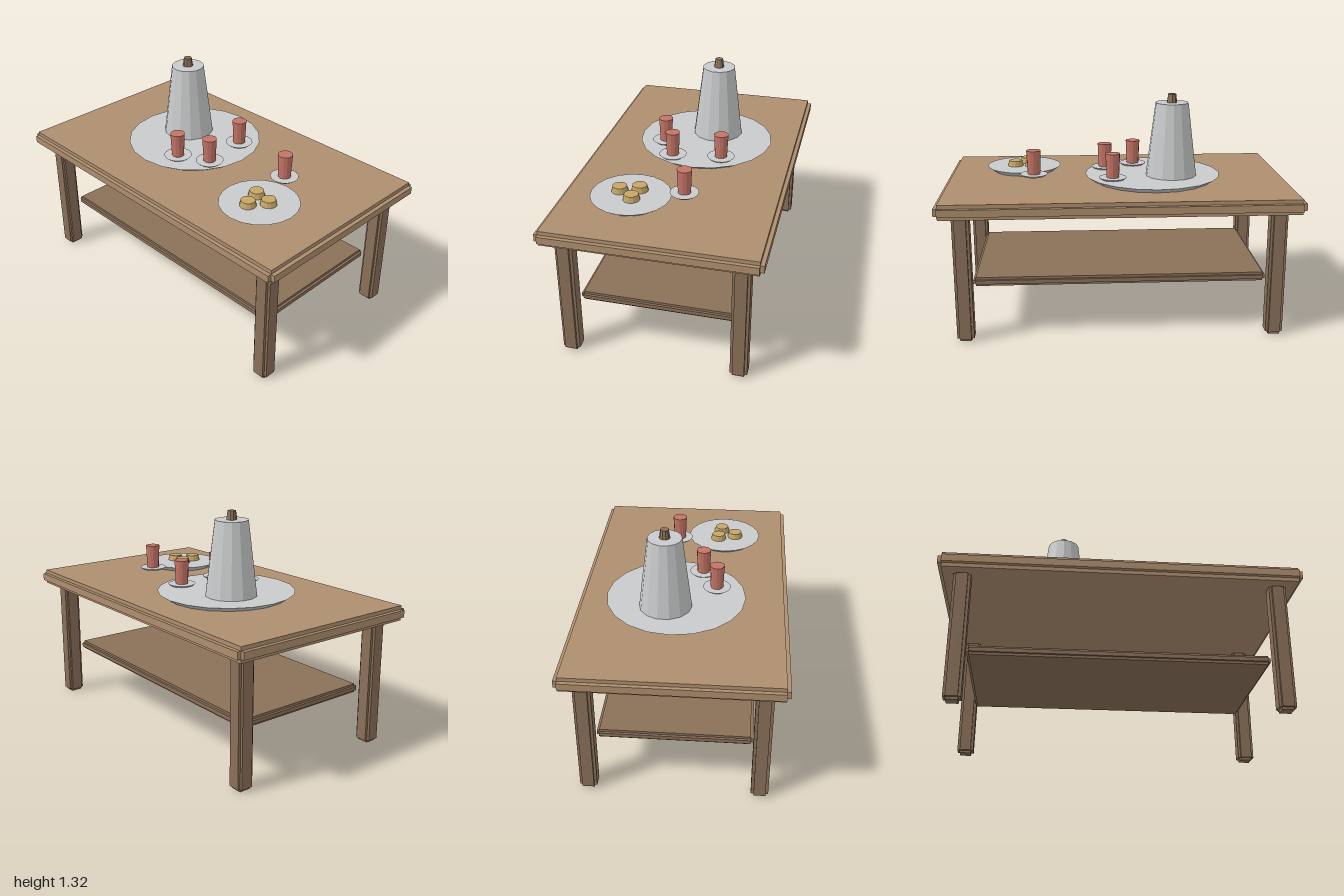
import * as THREE from 'three';

const mat = (name, color) => {
  const m = new THREE.MeshStandardMaterial({ color });
  m.name = name;
  return m;
};

export function createModel() {
  const root = new THREE.Group();
  root.name = 'coffeeTable';

  const topWood = mat('light wood', 0xae8e6e);
  const legWood = mat('dark wood', 0x8a7058);
  const metal = mat('silver', 0xc8cacb);
  const red = mat('red ceramic', 0xc47466);
  const pastry = mat('golden pastry', 0xc6a668);
  [topWood, legWood, metal, red, pastry].forEach((m) => (m.flatShading = true));

  // Block with stepped edges: three boxes, each full length on one axis
  const steppedBlock = (name, material, [w, h, d], [x, y, z], s) => {
    const g = new THREE.Group();
    g.name = name;
    for (let axis = 0; axis < 3; axis++) {
      const size = [w, h, d].map((v, i) => (i === axis ? v : v - 2 * s));
      const mesh = new THREE.Mesh(new THREE.BoxGeometry(...size), material);
      mesh.name = name + 'Core';
      g.add(mesh);
    }
    g.position.set(x, y, z);
    root.add(g);
  };

  // Tapered round part standing on height y
  const round = (name, material, rTop, rBottom, h, x, y, z, sides) => {
    const mesh = new THREE.Mesh(new THREE.CylinderGeometry(rTop, rBottom, h, sides), material);
    mesh.name = name;
    mesh.position.set(x, y + h / 2, z);
    root.add(mesh);
  };

  // Table
  steppedBlock('tableTop', topWood, [2, 0.085, 1.19], [0, 0.768, 0], 0.022);
  for (const sx of [-1, 1]) {
    for (const sz of [-1, 1]) {
      steppedBlock('leg', legWood, [0.095, 0.735, 0.095], [sx * 0.869, 0.3675, sz * 0.472], 0.015);
    }
  }
  steppedBlock('shelf', legWood, [1.65, 0.05, 0.85], [0, 0.315, 0], 0.014);

  // Tray and plate
  round('tray', metal, 0.396, 0.35, 0.03, -0.21, 0.81, -0.04, 20);
  round('plate', metal, 0.222, 0.18, 0.03, 0.555, 0.81, 0.205, 20);

  // Pot in two sections with a knob
  round('potLower', metal, 0.122, 0.148, 0.21, -0.315, 0.84, -0.09, 14);
  round('potUpper', metal, 0.095, 0.122, 0.215, -0.315, 1.05, -0.09, 14);
  round('potKnob', legWood, 0.023, 0.03, 0.05, -0.315, 1.265, -0.09, 10);

  // Cups on saucers
  for (const [x, z] of [[0.03, -0.18], [0.065, 0.1], [-0.11, 0.187], [0.485, -0.075]]) {
    round('saucer', metal, 0.08, 0.065, 0.012, x, 0.839, z, 20);
    round('cup', red, 0.042, 0.036, 0.139, x, 0.851, z, 12);
  }

  // Pastries
  for (const [x, z] of [[0.502, 0.17], [0.606, 0.187], [0.536, 0.273]]) {
    round('pastry', pastry, 0.04, 0.047, 0.033, x, 0.84, z, 12);
  }

  return root;
}
